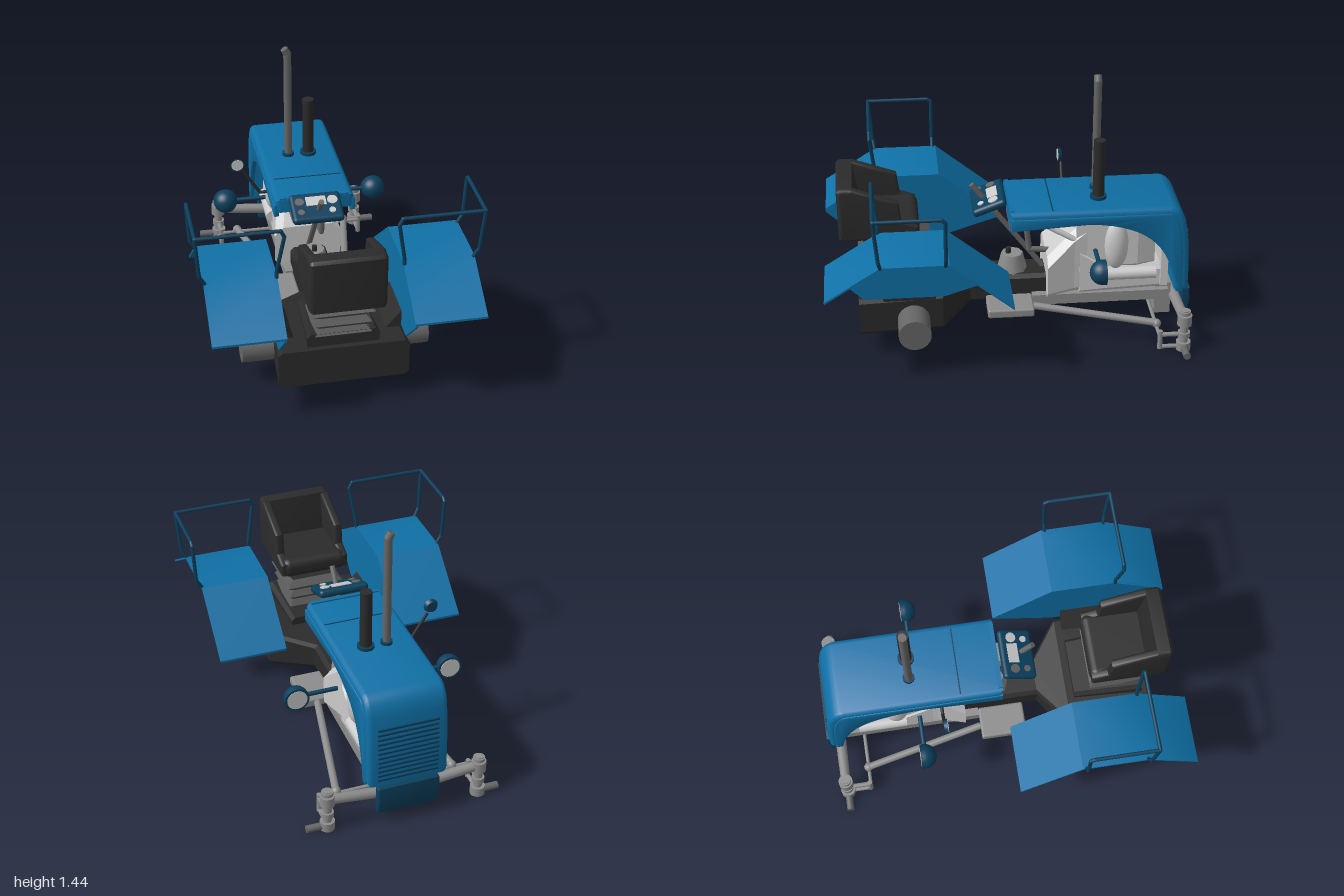
import * as THREE from 'three';
import { toCreasedNormals } from 'three/addons/utils/BufferGeometryUtils.js';
import { RoundedBoxGeometry } from 'three/addons/geometries/RoundedBoxGeometry.js';

const paint = (color) => new THREE.MeshStandardMaterial({ color, side: THREE.DoubleSide });
const BLUE = paint(0x0f70a6), NAVY = paint(0x0b3f5c), BLACK = paint(0x2b2b2b);
const DARK = paint(0x666666), STEEL = paint(0x8c8c8c), GREY = paint(0xcccccc);
const V = (p) => new THREE.Vector3(...p);

function add(parent, name, geo, mat, pos = [0, 0, 0]) {
  const m = new THREE.Mesh(geo, mat);
  m.name = name;
  m.position.set(...pos);
  parent.add(m);
  return m;
}
// Box given by its limits on each axis
function box(parent, name, mat, [x0, x1], [y0, y1], [z0, z1], r = 0) {
  const s = [x1 - x0, y1 - y0, z1 - z0];
  const geo = r ? new RoundedBoxGeometry(...s, 3, r) : new THREE.BoxGeometry(...s);
  return add(parent, name, geo, mat, [(x0 + x1) / 2, (y0 + y1) / 2, (z0 + z1) / 2]);
}
// Round bar between two points
function rod(parent, name, mat, a, b, r, r2 = r, sides = 16) {
  const d = V(b).sub(V(a));
  const m = add(parent, name, new THREE.CylinderGeometry(r2, r, d.length(), sides), mat);
  m.position.copy(V(a)).addScaledVector(d, 0.5);
  m.quaternion.setFromUnitVectors(new THREE.Vector3(0, 1, 0), d.normalize());
  return m;
}
// Bent bar with ball joints
function bentRod(parent, name, mat, pts, r) {
  const g = new THREE.Group();
  g.name = name;
  for (let i = 1; i < pts.length; i++) {
    rod(g, name + 'Bar', mat, pts[i - 1], pts[i], r, r, 10);
    if (i < pts.length - 1) add(g, name + 'Joint', new THREE.SphereGeometry(r, 10, 8), mat, pts[i]);
  }
  parent.add(g);
}
// Side outline in [z, y], extruded from x0 to x1
function sidePlate(parent, name, mat, shape, x0, x1, bevel = 0) {
  const s = Array.isArray(shape) ? new THREE.Shape(shape.map((p) => new THREE.Vector2(...p))) : shape;
  const geo = new THREE.ExtrudeGeometry(s, {
    depth: x1 - x0 - 2 * bevel, curveSegments: 16, bevelEnabled: bevel > 0,
    bevelSize: bevel, bevelThickness: bevel, bevelOffset: -bevel, bevelSegments: 4,
  });
  geo.rotateY(-Math.PI / 2).translate(x1 - bevel, 0, 0);
  return add(parent, name, toCreasedNormals(geo, 0.6), mat);
}
// Chamfered rectangles [z, halfWidth, y0, y1] joined along z
function loft(parent, name, mat, sections, c = 0.03) {
  const rings = sections.map(([z, w, a, b]) => [
    [-w + c, a, z], [w - c, a, z], [w, a + c, z], [w, b - c, z],
    [w - c, b, z], [-w + c, b, z], [-w, b - c, z], [-w, a + c, z]]);
  const v = [];
  for (let k = 1; k < rings.length; k++) for (let i = 0; i < 8; i++) {
    const j = (i + 1) % 8, A = rings[k - 1], B = rings[k];
    v.push(...A[i], ...A[j], ...B[j], ...A[i], ...B[j], ...B[i]);
  }
  const first = rings[0], last = rings[rings.length - 1];
  for (let i = 1; i < 7; i++) {
    v.push(...last[0], ...last[i], ...last[i + 1], ...first[0], ...first[i + 1], ...first[i]);
  }
  const geo = new THREE.BufferGeometry();
  geo.setAttribute('position', new THREE.Float32BufferAttribute(v, 3));
  geo.computeVertexNormals();
  return add(parent, name, geo, mat);
}

function buildHood(g) {
  // Crown and nose in one bent sheet
  const crown = new THREE.Shape();
  crown.moveTo(0.01, 0.768);
  crown.lineTo(-0.86, 0.768);
  crown.quadraticCurveTo(-0.93, 0.755, -0.95, 0.66);
  crown.quadraticCurveTo(-0.98, 0.5, -0.975, 0.25);
  crown.lineTo(-0.9, 0.25);
  crown.quadraticCurveTo(-0.9, 0.58, -0.85, 0.69);
  crown.lineTo(0.01, 0.69);
  sidePlate(g, 'hoodCrown', BLUE, crown, -0.22, 0.22, 0.03);
  // Side panels with the open arch beside the engine
  const side = new THREE.Shape();
  side.moveTo(0.005, 0.735);
  side.lineTo(-0.86, 0.735);
  side.quadraticCurveTo(-0.92, 0.7, -0.935, 0.5);
  side.lineTo(-0.94, 0.25);
  side.lineTo(-0.905, 0.25);
  side.bezierCurveTo(-0.87, 0.5, -0.78, 0.67, -0.42, 0.69);
  side.lineTo(0.005, 0.665);
  for (const s of [-1, 1]) sidePlate(g, 'hoodSide', BLUE, side, s * 0.211 - 0.014, s * 0.211 + 0.014, 0.005);
  box(g, 'hoodSeam', NAVY, [-0.19, 0.19], [0.764, 0.77], [-0.225, -0.218]);
  box(g, 'cowlLip', BLUE, [-0.19, 0.19], [0.755, 0.776], [-0.015, 0.008]);
  for (let i = 0; i < 12; i++) {
    const y = 0.28 + i * 0.028;
    box(g, 'grilleSlat', NAVY, [-0.165, 0.165], [y, y + 0.01], [-0.978 + Math.max(0, i - 5) * 0.0015, -0.93]);
  }
  sidePlate(g, 'frontBumper', NAVY, [[-0.95, 0.24], [-0.995, 0.24], [-1, 0.16], [-0.985, 0.08], [-0.95, 0.08]], -0.17, 0.17, 0.01);
  // Exhaust and air intake
  bentRod(g, 'exhaust', DARK, [[-0.06, 0.76, -0.485], [-0.06, 1.4, -0.485], [-0.078, 1.43, -0.485]], 0.022);
  rod(g, 'airIntake', BLACK, [0.055, 0.76, -0.485], [0.055, 1.11, -0.485], 0.032, 0.032, 24);
  for (const [x, r] of [[-0.06, 0.032], [0.055, 0.045]]) {
    rod(g, 'stackCollar', NAVY, [x, 0.76, -0.485], [x, 0.785, -0.485], r, r, 24);
  }
}

function buildEngine(g) {
  loft(g, 'engineBlock', GREY, [[-0.86, 0.13, 0.22, 0.37], [-0.53, 0.15, 0.22, 0.4], [-0.38, 0.15, 0.21, 0.5]]);
  loft(g, 'cylinderHead', GREY, [[-0.8, 0.11, 0.36, 0.62], [-0.7, 0.14, 0.36, 0.69], [-0.36, 0.14, 0.36, 0.69]]);
  loft(g, 'bellHousing', GREY, [[-0.42, 0.14, 0.21, 0.65], [-0.35, 0.15, 0.21, 0.6], [-0.2, 0.19, 0.2, 0.46]], 0.05);
  box(g, 'radiator', GREY, [-0.15, 0.15], [0.25, 0.66], [-0.87, -0.83]);
  for (const s of [-1, 1]) {
    const drum = add(g, 'engineDrum', new THREE.SphereGeometry(1, 24, 16), GREY, [s * 0.14, 0.52, -0.58]);
    drum.scale.set(0.05, 0.15, 0.065);
    rod(g, 'manifold', GREY, [s * 0.15, 0.34, -0.53], [s * 0.15, 0.34, -0.8], 0.035);
    rod(g, 'brace', GREY, [s * 0.12, 0.67, -0.15], [s * 0.13, 0.55, -0.36], 0.016);
    box(g, 'frameRail', STEEL, [s * 0.12 - 0.025, s * 0.12 + 0.025], [0.16, 0.22], [-0.88, -0.12]);
  }
  box(g, 'frontMount', STEEL, [-0.11, 0.11], [0.05, 0.24], [-0.9, -0.81]);
  // Controls between the engine and the driver
  box(g, 'controlBox', DARK, [-0.12, 0.1], [0.61, 0.68], [-0.15, 0]);
  bentRod(g, 'controlPipe', DARK, [[0.06, 0.63, -0.09], [0.06, 0.47, -0.11], [0.06, 0.46, -0.22]], 0.016);
  add(g, 'gearCover', new THREE.CylinderGeometry(0.06, 0.085, 0.1, 8), STEEL, [0, 0.37, -0.02]);
  rod(g, 'gearLever', BLACK, [0, 0.41, 0], [0, 0.45, 0], 0.015);
  rod(g, 'steeringColumn', DARK, [0, 0.33, -0.19], [0, 0.85, 0.2], 0.015);
  // Sloping instrument panel
  const dash = new THREE.Group();
  dash.name = 'dashboard';
  dash.position.set(-0.01, 0.76, 0.11);
  dash.rotation.x = 0.36;
  add(dash, 'dashPanel', new RoundedBoxGeometry(0.28, 0.045, 0.19, 3, 0.02), NAVY);
  add(dash, 'dashPlate', new THREE.BoxGeometry(0.11, 0.01, 0.06), GREY, [0, 0.022, -0.03]);
  for (const [x, z, r] of [[-0.09, -0.03, 0.025], [0.09, -0.03, 0.028], [-0.09, 0.04, 0.018], [0.08, 0.04, 0.018]]) {
    add(dash, 'gauge', new THREE.CylinderGeometry(r, r, 0.012, 20), x > 0 ? GREY : DARK, [x, 0.022, z]);
  }
  g.add(dash);
}

function buildSeat(g) {
  loft(g, 'seatBase', BLACK, [[0.42, 0.17, 0.34, 0.4], [0.8, 0.19, 0.34, 0.43]], 0.02);
  // Folded suspension cover
  const profile = [[0.18, 0.4], [0.21, 0.42], [0.17, 0.45], [0.21, 0.48], [0.17, 0.51], [0.23, 0.55], [0.17, 0.58], [0.22, 0.64]];
  const bellows = new THREE.LatheGeometry(profile.map((p) => new THREE.Vector2(...p)), 4).rotateY(Math.PI / 4);
  add(g, 'seatSuspension', toCreasedNormals(bellows.toNonIndexed(), 0.2), paint(0x555555), [0, 0, 0.66]);
  box(g, 'seatCushion', BLACK, [-0.19, 0.19], [0.62, 0.73], [0.49, 0.9], 0.045);
  sidePlate(g, 'seatBack', BLACK, [[0.92, 0.64], [0.925, 0.93], [0.91, 0.945], [0.84, 0.945], [0.8, 0.7], [0.8, 0.64]], -0.2, 0.2, 0.025);
  for (const s of [-1, 1]) {
    sidePlate(g, 'seatWing', BLACK, [[0.9, 0.64], [0.9, 0.93], [0.84, 0.942], [0.6, 0.855], [0.585, 0.74], [0.5, 0.71], [0.5, 0.64]],
      s * 0.175 - 0.025, s * 0.175 + 0.025, 0.015);
  }
}

// Everything that exists once on each side
function buildSide(g, s) {
  const top = [[1, 0.57], [0.71, 0.755], [0.36, 0.755], [0.03, 0.485]];
  const strip = [...top, ...top.map(([z, y]) => [z, y - 0.012]).reverse()];
  sidePlate(g, 'fenderTop', BLUE, strip, Math.min(s * 0.325, s * 0.7), Math.max(s * 0.325, s * 0.7));
  sidePlate(g, 'fenderPlate', BLUE, [...top, [0.03, 0.47], [0.37, 0.36], [0.8, 0.36], [1, 0.55]], s * 0.333 - 0.006, s * 0.333 + 0.006);
  // Bracket tying the fender to the axle housing
  const tri = new THREE.Shape([[0.335, 0.34], [0.335, 0.46], [0.24, 0.35]].map(([x, y]) => new THREE.Vector2(s * x, y)));
  add(g, 'fenderBracket', new THREE.ExtrudeGeometry(tri, { depth: 0.28, bevelEnabled: false }), BLACK, [0, 0, 0.42]);
  bentRod(g, 'handrail', NAVY, [[0.695, 0.75, 0.38], [0.725, 0.8, 0.38], [0.737, 1.02, 0.38], [0.737, 1.035, 0.4], [0.737, 1.035, 0.74],
    [0.31, 1.035, 0.74], [0.292, 1, 0.74], [0.328, 0.79, 0.715], [0.33, 0.745, 0.715]].map(([x, y, z]) => [s * x, y, z]), 0.01);
  bentRod(g, 'handrailPost', NAVY, [[s * 0.737, 1.035, 0.74], [s * 0.72, 0.8, 0.72], [s * 0.69, 0.745, 0.71]], 0.01);
  rod(g, 'rearHub', DARK, [s * 0.33, 0.22, 0.54], [s * 0.5, 0.22, 0.54], 0.087, 0.087, 32);
  box(g, 'footrest', STEEL, [s * 0.19 - 0.09, s * 0.19 + 0.09], [0.165, 0.215], [-0.12, 0.135], 0.012);
  // Work lamp: round shell behind, lens facing forward
  rod(g, 'lampArm', NAVY, [s * 0.2, 0.52, -0.455], [s * 0.4, 0.52, -0.455], 0.012);
  const shell = new THREE.SphereGeometry(0.067, 24, 12, 0, Math.PI * 2, 0, Math.PI / 2).rotateX(Math.PI / 2);
  add(g, 'lampShell', shell, NAVY, [s * 0.43, 0.515, -0.46]);
  rod(g, 'lampRim', NAVY, [s * 0.43, 0.515, -0.46], [s * 0.43, 0.515, -0.48], 0.067, 0.067, 24);
  rod(g, 'lampLens', GREY, [s * 0.43, 0.515, -0.478], [s * 0.43, 0.515, -0.483], 0.055, 0.055, 24);
  // Steered front axle
  const x = s * 0.42, z = -0.92;
  rod(g, 'axleBeam', STEEL, [0, 0.15, z], [x, 0.19, z], 0.032, 0.026);
  rod(g, 'kingpin', STEEL, [x, 0.005, z], [x, 0.25, z], 0.023);
  for (const [y, h, r] of [[0.005, 0.05, 0.04], [0.085, 0.03, 0.034], [0.16, 0.06, 0.04], [0.225, 0.02, 0.032]]) {
    rod(g, 'kingpinCollar', STEEL, [x, y, z], [x, y + h, z], r);
  }
  rod(g, 'wheelSpindle', DARK, [x, 0.025, z], [s * 0.535, 0.025, z], 0.02);
  rod(g, 'steeringArm', STEEL, [x, 0.1, z], [x, 0.1, -0.79], 0.013);
  rod(g, 'trackArm', STEEL, [x, 0.025, z], [x, 0.025, -0.79], 0.012);
  rod(g, 'armPin', STEEL, [x, 0.015, -0.79], [x, 0.125, -0.79], 0.014);
  rod(g, 'tieRod', STEEL, [x, 0.1, -0.785], [0, 0.1, -0.785], 0.01);
  rod(g, 'radiusRod', STEEL, [s * 0.2, 0.19, -0.12], [s * 0.325, 0.12, -0.78], 0.02);
  add(g, 'radiusRodEnd', new THREE.SphereGeometry(0.026, 14, 10), STEEL, [s * 0.325, 0.115, -0.785]);
}

export function createModel() {
  const g = new THREE.Group();
  g.name = 'tractor';
  buildHood(g);
  buildEngine(g);
  // Gearbox widening into the rear axle housing
  loft(g, 'gearbox', BLACK, [[-0.2, 0.1, 0.17, 0.325], [0.22, 0.1, 0.17, 0.325], [0.38, 0.32, 0.145, 0.355], [0.83, 0.344, 0.14, 0.355]], 0.02);
  buildSeat(g);
  for (const s of [-1, 1]) buildSide(g, s);
  // Single mirror on the right
  bentRod(g, 'mirrorArm', BLACK, [[-0.18, 0.63, -0.33], [-0.25, 0.63, -0.33], [-0.35, 0.79, -0.33]], 0.009);
  rod(g, 'mirrorShell', NAVY, [-0.375, 0.825, -0.335], [-0.375, 0.825, -0.315], 0.03, 0.04, 24);
  rod(g, 'mirrorGlass', GREY, [-0.375, 0.825, -0.316], [-0.375, 0.825, -0.312], 0.033, 0.033, 24);
  return g;
}
